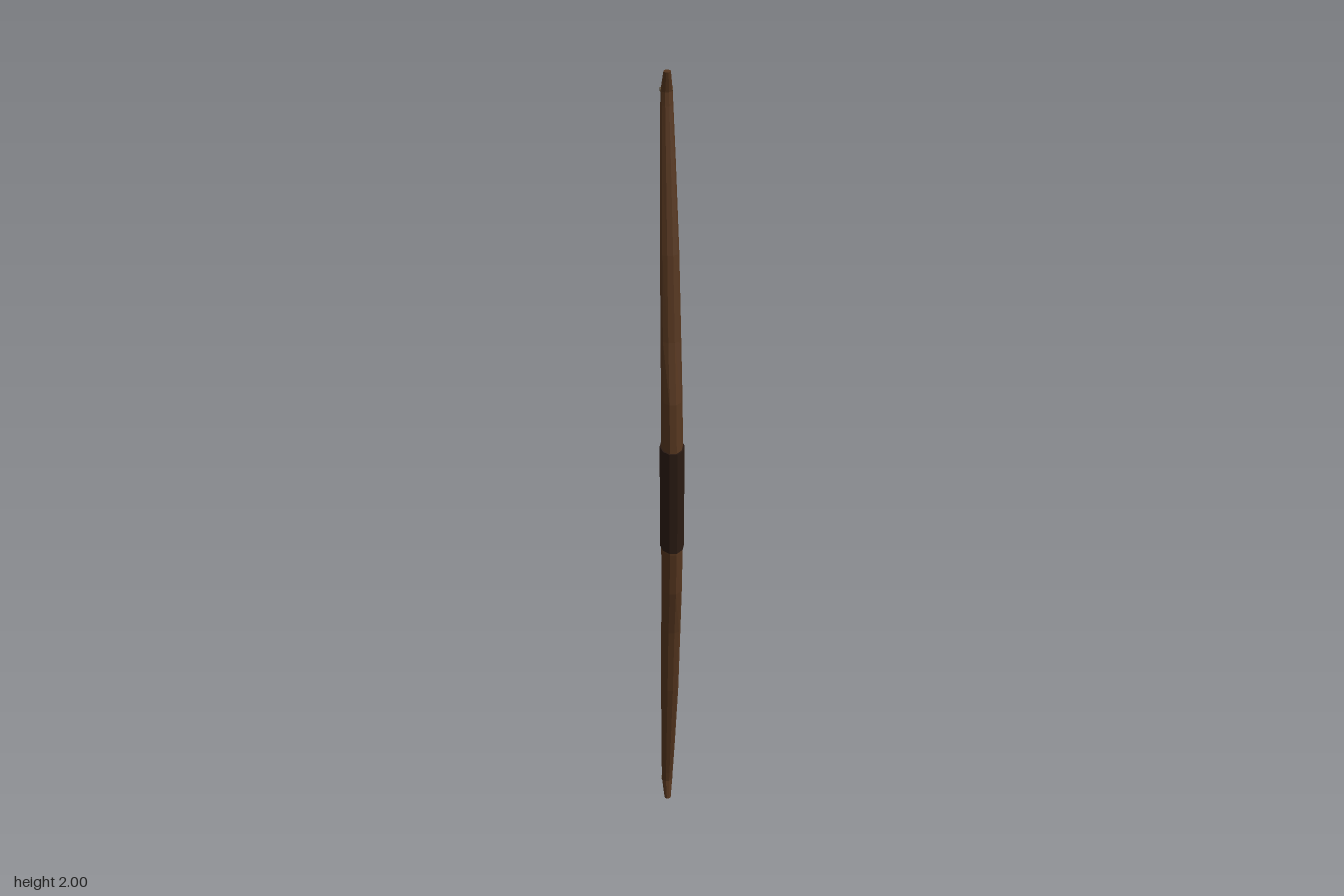
import * as THREE from 'three';

const SIDES = 10;

// Lofts ten-sided elliptical rings [y, zCentre, halfWidth, halfDepth], listed bottom to top, with closed ends
function loft(rings, name, color) {
  const pos = [], idx = [];
  for (const [y, z, w, d] of rings) {
    for (let i = 0; i < SIDES; i++) {
      const a = (i / SIDES) * Math.PI * 2;
      pos.push(w * Math.cos(a), y, z + d * Math.sin(a));
    }
  }
  for (let r = 0; r < rings.length - 1; r++) {
    for (let i = 0; i < SIDES; i++) {
      const j = (i + 1) % SIDES, a = r * SIDES, b = a + SIDES;
      idx.push(a + i, b + i, b + j, a + i, b + j, a + j);
    }
  }
  const top = (rings.length - 1) * SIDES;
  for (let i = 1; i < SIDES - 1; i++) {
    idx.push(0, i, i + 1, top, top + i + 1, top + i);
  }
  const geo = new THREE.BufferGeometry();
  geo.setAttribute('position', new THREE.Float32BufferAttribute(pos, 3));
  geo.setIndex(idx);
  const flat = geo.toNonIndexed();
  flat.computeVertexNormals();
  const mesh = new THREE.Mesh(flat, new THREE.MeshStandardMaterial({ color, flatShading: true }));
  mesh.name = name;
  return mesh;
}

export function createModel() {
  const bow = new THREE.Group();
  bow.name = 'bow';

  // Stave: upper half from the middle out, mirrored for the lower limb
  const upper = [
    [1.0, 0.053, 0.025, 0.036],
    [1.14, 0.052, 0.025, 0.036],
    [1.26, 0.046, 0.024, 0.029],
    [1.4, 0.023, 0.023, 0.017],
    [1.6, -0.006, 0.021, 0.014],
    [1.8, -0.048, 0.017, 0.013],
    [1.92, -0.074, 0.014, 0.012],
    [1.95, -0.079, 0.013, 0.012],
    [2.0, -0.065, 0.008, 0.008],
  ];
  const lower = upper.slice(1).reverse().map(([y, ...rest]) => [2 - y, ...rest]);
  bow.add(loft([...lower, ...upper], 'stave', 0x55361f));

  // Leather wrap around the handle
  bow.add(loft([
    [0.868, 0.053, 0.028, 0.039],
    [1.14, 0.053, 0.028, 0.039],
  ], 'gripWrap', 0x2a1a12));

  // Small cross pins that hold the string at each tip
  for (const [y, name] of [[1.95, 'upperNock'], [0.05, 'lowerNock']]) {
    const nock = new THREE.Mesh(
      new THREE.CylinderGeometry(0.005, 0.005, 0.028, 6),
      new THREE.MeshStandardMaterial({ color: 0x5c4a2c, flatShading: true }));
    nock.rotation.z = Math.PI / 2;
    nock.position.set(0, y, -0.084);
    nock.name = name;
    bow.add(nock);
  }
  return bow;
}
